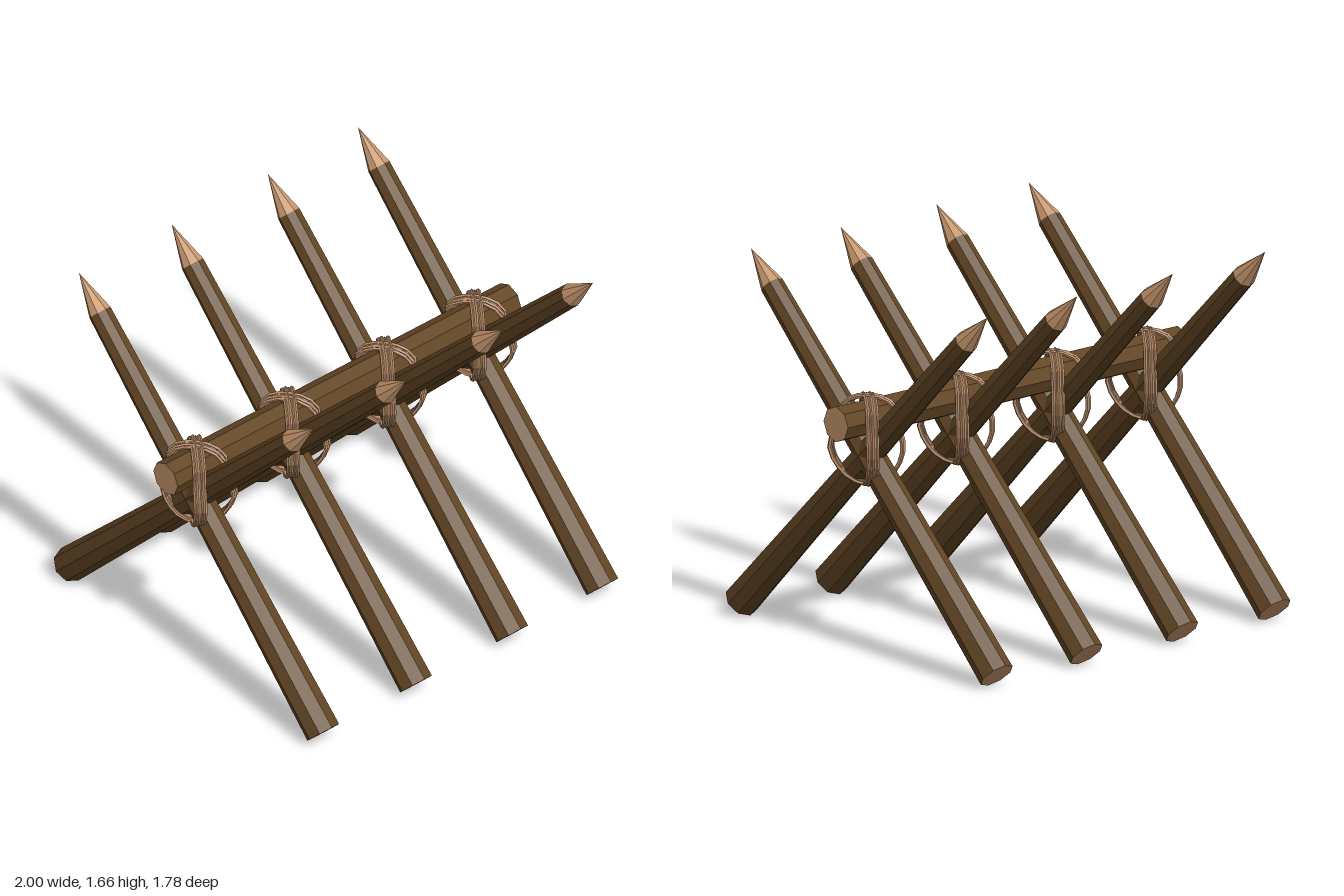
import * as THREE from 'three';

const mat = (name, color) => {
  const m = new THREE.MeshStandardMaterial({ color, flatShading: true });
  m.name = name;
  return m;
};

export function createModel() {
  const bark = mat('bark', 0x634624);
  const cutWood = mat('cutWood', 0xc8986f);
  const rope = mat('rope', 0xb68a68);
  const model = new THREE.Group();
  model.name = 'spikedBarricade';

  const add = (parent, name, geometry, material) => {
    const mesh = new THREE.Mesh(geometry, material);
    mesh.name = name;
    parent.add(mesh);
    return mesh;
  };

  // Long horizontal log with pale sawn ends
  const beam = add(model, 'beam', new THREE.CylinderGeometry(0.08, 0.08, 2, 8), [bark, cutWood, cutWood]);
  beam.rotation.z = Math.PI / 2;
  beam.position.y = 1.06;

  // Tapered stake with a sharpened tip, leaning 45 degrees through the crossing
  const shaft = 2.073, tip = 0.194;
  const shaftGeo = new THREE.CylinderGeometry(0.053, 0.08, shaft, 8).translate(0, shaft / 2, 0);
  const tipGeo = new THREE.ConeGeometry(0.053, tip, 8, 1, true).translate(0, shaft + tip / 2, 0);
  const addStake = (parent, side) => {
    const stake = new THREE.Group();
    stake.name = side > 0 ? 'backLeaningStake' : 'frontLeaningStake';
    add(stake, 'shaft', shaftGeo, [bark, cutWood, cutWood]);
    add(stake, 'sharpTip', tipGeo, cutWood);
    stake.position.set(0, 0.06, side * 0.832);
    stake.rotation.x = -side * Math.PI / 4;
    parent.add(stake);
  };

  // Outline of a rope loop: over the beam and under the crossed stakes
  const outline = [
    [0, 1.154], [0.075, 1.14], [0.12, 1.1], [0.128, 1.03], [0.17, 0.93], [0.145, 0.85], [0.08, 0.78],
    [0, 0.755], [-0.075, 0.78], [-0.13, 0.85], [-0.15, 0.93], [-0.128, 1.03], [-0.12, 1.1], [-0.075, 1.14],
  ];
  const strandGeo = (side, k) => {
    const dx = side * 0.58, dz = 0.81;
    const off = (k - 1.5) * 0.014;
    const grow = 1 + (k % 2) * 0.03;
    const points = outline.map(([u, y]) => new THREE.Vector3(
      dx * u * grow + dz * off, y + (k % 2) * 0.004, dz * u * grow - dx * off));
    const curve = new THREE.CatmullRomCurve3(points, true);
    return new THREE.TubeGeometry(curve, 24, 0.009, 5, true);
  };
  const strands = [1, -1].map(side => [0, 1, 2, 3].map(k => strandGeo(side, k)));

  // Four crossed pairs, each lashed with two diagonal loops
  for (const x of [-0.82, -0.28, 0.28, 0.805]) {
    const pair = new THREE.Group();
    pair.name = 'crossedStakes';
    pair.position.x = x;
    addStake(pair, 1);
    addStake(pair, -1);
    for (const loop of strands) {
      const lashing = new THREE.Group();
      lashing.name = 'ropeLashing';
      for (const g of loop) add(lashing, 'ropeStrand', g, rope);
      pair.add(lashing);
    }
    model.add(pair);
  }
  return model;
}
